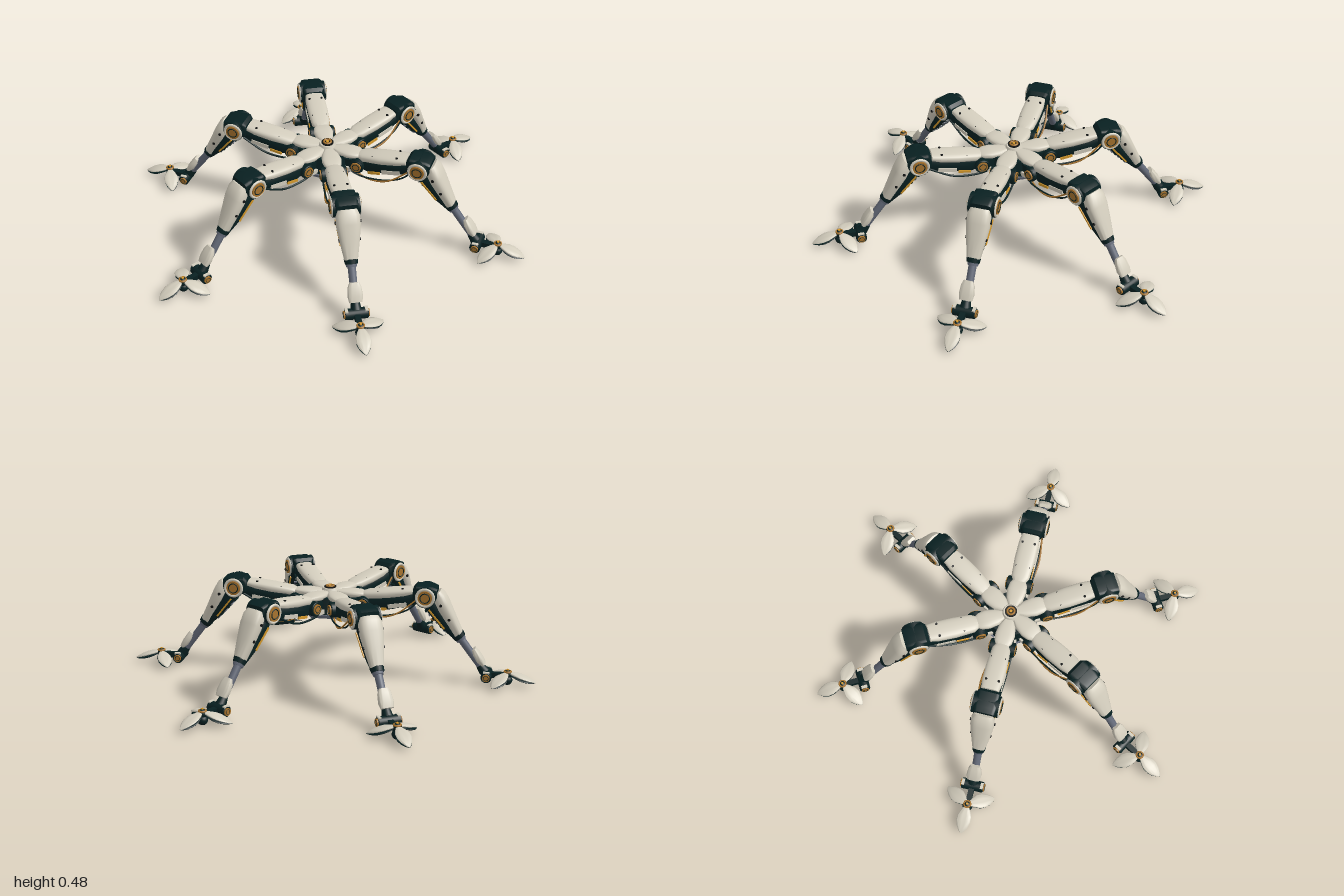
import * as THREE from 'three';
import { toCreasedNormals } from 'three/addons/utils/BufferGeometryUtils.js';

const mat = (name, color) => Object.assign(new THREE.MeshStandardMaterial({ color }), { name });
const M = {
  shell: mat('ivory shell', 0xd2ccbc),
  dark: mat('dark green frame', 0x082021),
  steel: mat('blue grey steel', 0x636977),
  bronze: mat('bronze joint', 0xa8742f),
  amber: mat('amber cable', 0xd69a2c),
  black: mat('black bolt', 0x121414),
};

function add(parent, name, geo, material, x = 0, y = 0, z = 0) {
  const m = new THREE.Mesh(geo, material);
  m.name = name;
  m.position.set(x, y, z);
  parent.add(m);
  return m;
}

// Rounded body along +x; each section is [x, top, bottom, halfWidth]
function loft(sections, square = 0.75, n = 24) {
  const pos = [], idx = [];
  const sp = v => Math.sign(v) * Math.pow(Math.abs(v), square);
  for (const [x, top, bot, w] of sections)
    for (let j = 0; j < n; j++) {
      const a = (j / n) * Math.PI * 2;
      pos.push(x, (top + bot) / 2 + sp(Math.cos(a)) * (top - bot) / 2, sp(Math.sin(a)) * w);
    }
  const last = sections.length - 1;
  for (let i = 0; i < last; i++)
    for (let j = 0; j < n; j++) {
      const k = (j + 1) % n, a = i * n + j, b = i * n + k;
      idx.push(a, b, b + n, a, b + n, a + n);
    }
  // end caps
  for (const i of [0, last]) {
    const [x, top, bot] = sections[i], c = pos.length / 3;
    pos.push(x, (top + bot) / 2, 0);
    for (let j = 0; j < n; j++) {
      const a = i * n + j, b = i * n + (j + 1) % n;
      idx.push(c, i ? a : b, i ? b : a);
    }
  }
  const g = new THREE.BufferGeometry();
  g.setAttribute('position', new THREE.Float32BufferAttribute(pos, 3));
  g.setIndex(idx);
  return toCreasedNormals(g, 0.7);
}

const cyl = (r1, r2, h, n = 20) => new THREE.CylinderGeometry(r1, r2, h, n);
const across = (r, h, n = 24) => cyl(r, r, h, n).rotateX(Math.PI / 2);
const along = (r1, r2, h, n = 20) => cyl(r2, r1, h, n).rotateZ(-Math.PI / 2);
const box = (x, y, z) => new THREE.BoxGeometry(x, y, z);

// Group whose x axis runs from one point of the leg plane towards another
function limb(parent, name, [x0, y0], [x1, y1]) {
  const g = new THREE.Group();
  g.name = name;
  g.position.set(x0, y0, 0);
  g.rotation.z = Math.atan2(y1 - y0, x1 - x0);
  parent.add(g);
  return g;
}

function cable(parent, points, r, material) {
  const curve = new THREE.CatmullRomCurve3(points.map(p => new THREE.Vector3(...p)));
  add(parent, 'cable', new THREE.TubeGeometry(curve, 24, r, 6), material);
}

// Rotary joint with layered caps on both sides
function joint(parent, name, [x, y], r, width, ringMaterial) {
  const g = new THREE.Group();
  g.name = name;
  g.position.set(x, y, 0);
  parent.add(g);
  add(g, 'jointCore', across(r, width), M.dark);
  for (const s of [-1, 1]) {
    add(g, 'jointRing', new THREE.TorusGeometry(r * 0.82, r * 0.14, 8, 24), ringMaterial, 0, 0, s * width / 2);
    add(g, 'jointCap', across(r * 0.68, 0.012), M.bronze, 0, 0, s * (width / 2 + 0.003));
    add(g, 'jointGroove', new THREE.TorusGeometry(r * 0.45, r * 0.05, 6, 20), M.dark, 0, 0, s * (width / 2 + 0.009));
  }
  return g;
}

const HIP = [0.165, 0.38], KNEE = [0.465, 0.43], ANKLE = [0.765, 0.045], FOOT = [0.865, 0.04];

function buildThigh(leg) {
  joint(leg, 'hip', HIP, 0.036, 0.112, M.dark);
  const t = limb(leg, 'thigh', HIP, KNEE);
  add(t, 'thighFrame', loft([[0.0, 0.03, -0.025, 0.035], [0.05, 0.035, -0.045, 0.045],
    [0.2, 0.03, -0.045, 0.046], [0.29, 0.025, -0.03, 0.04]], 0.55), M.dark);
  add(t, 'thighShell', loft([[0.0, 0.05, 0.022, 0.028], [0.03, 0.056, 0.012, 0.044],
    [0.12, 0.054, 0.006, 0.05], [0.2, 0.05, 0.006, 0.049], [0.245, 0.044, 0.012, 0.043]]), M.shell);
  for (const s of [-1, 1]) {
    add(t, 'thighSidePlate', box(0.09, 0.02, 0.008), M.shell, 0.165, -0.026, s * 0.045);
    add(t, 'thighAmberStrip', box(0.06, 0.013, 0.007), M.amber, 0.08, -0.036, s * 0.044);
    for (const x of [0.08, 0.2])
      add(t, 'shellBolt', cyl(0.006, 0.006, 0.012, 8), M.black, x, 0.045, s * 0.03);
  }
  // hanging cables
  cable(leg, [[0.11, 0.35, 0.04], [0.18, 0.33, 0.05], [0.3, 0.335, 0.054],
    [0.39, 0.37, 0.054], [0.44, 0.42, 0.05]], 0.004, M.dark);
  cable(leg, [[0.11, 0.35, -0.04], [0.18, 0.335, -0.046], [0.3, 0.34, -0.046], [0.42, 0.4, -0.045]], 0.005, M.dark);
  cable(leg, [[0.13, 0.35, 0.03], [0.22, 0.322, 0.05], [0.32, 0.34, 0.062], [0.43, 0.42, 0.05]], 0.004, M.bronze);
}

function buildShin(leg) {
  const knee = joint(leg, 'knee', KNEE, 0.05, 0.125, M.shell);
  add(knee, 'kneeHousing', loft([[-0.06, 0.035, -0.03, 0.045], [-0.045, 0.05, -0.03, 0.054],
    [0.03, 0.05, -0.03, 0.054], [0.055, 0.04, -0.02, 0.05]], 0.3), M.dark);
  const s = limb(leg, 'shin', KNEE, [0.628, 0.225]);
  add(s, 'shinFrame', loft([[0.0, 0.03, -0.03, 0.04], [0.06, 0.03, -0.042, 0.046],
    [0.18, 0.02, -0.036, 0.036], [0.245, 0.02, -0.024, 0.026]], 0.5), M.dark);
  add(s, 'shinShell', loft([[0.02, 0.073, 0.03, 0.044], [0.045, 0.08, 0.01, 0.054], [0.09, 0.072, 0.002, 0.056],
    [0.16, 0.054, -0.006, 0.046], [0.245, 0.033, -0.016, 0.031]]), M.shell);
  // ladder ribs on the inner side
  for (let i = 0; i < 6; i++)
    add(s, 'shinRib', box(0.01, 0.014, 0.06 - i * 0.004), i % 2 ? M.steel : M.dark, 0.06 + i * 0.026, -0.041 + i * 0.002, 0);
  for (const d of [-1, 1]) {
    const strip = add(s, 'shinAmberStrip', box(0.12, 0.008, 0.008), M.amber, 0.12, -0.024, d * 0.041);
    strip.rotation.y = d * 0.09;
    for (const [x, y, z] of [[0.075, 0.036, 0.054], [0.155, 0.024, 0.044]])
      add(s, 'shellBolt', across(0.007, 0.012, 8), M.black, x, y, d * z);
  }
  add(s, 'shinCollar', along(0.033, 0.029, 0.022), M.dark, 0.254, 0.004);
  add(s, 'collarRing', along(0.027, 0.024, 0.014), M.steel, 0.271, 0.002);

  // piston and ankle guard
  const p = limb(leg, 'piston', [0.628, 0.23], ANKLE);
  add(p, 'pistonRod', along(0.019, 0.017, 0.2), M.steel, 0.1);
  add(p, 'pistonFoot', along(0.019, 0.026, 0.04), M.dark, 0.192);
  add(p, 'ankleGuard', loft([[0.088, 0.034, 0.014, 0.022], [0.11, 0.037, 0.004, 0.031],
    [0.15, 0.036, 0.0, 0.035], [0.178, 0.03, 0.008, 0.03]], 0.6), M.shell);
}

function buildFoot(leg) {
  const ankle = joint(leg, 'ankle', ANKLE, 0.026, 0.1, M.dark);
  for (const s of [-1, 1])
    add(ankle, 'ankleSideGuard', box(0.03, 0.008, 0.014), M.shell, 0, 0.024, s * 0.046);
  const foot = new THREE.Group();
  foot.name = 'foot';
  foot.position.set(...FOOT, 0);
  leg.add(foot);
  add(foot, 'footLink', box(0.09, 0.026, 0.026), M.dark, -0.05, 0.006);
  add(foot, 'footPad', new THREE.SphereGeometry(0.024, 20, 12), M.dark, 0, -0.016);
  add(foot, 'footHub', new THREE.SphereGeometry(0.021, 20, 12), M.dark, 0, 0.014);
  add(foot, 'footRing', new THREE.TorusGeometry(0.015, 0.005, 8, 20).rotateX(Math.PI / 2), M.bronze, 0, 0.027);
  add(foot, 'footPin', cyl(0.006, 0.006, 0.012, 10), M.amber, 0, 0.033);
  // three petal toes, pale above and dark below
  const outline = [[0.012, 0.012], [0.03, 0.023], [0.055, 0.033], [0.08, 0.034], [0.105, 0.026], [0.124, 0.013], [0.134, 0.003]];
  const toeTop = loft(outline.map(([x, w]) => [x, 0.025 - x * 0.34 + w * 0.35, 0.016 - x * 0.3, w]), 1);
  const toeSole = loft(outline.map(([x, w]) => [x, 0.018 - x * 0.3, 0.014 - x * 0.28 - w * 0.32, w * 0.95]), 1);
  for (let i = 0; i < 3; i++) {
    const toe = new THREE.Group();
    toe.name = 'toe';
    toe.rotation.y = i * Math.PI * 2 / 3;
    add(toe, 'toeShell', toeTop, M.shell);
    add(toe, 'toeSole', toeSole, M.dark);
    foot.add(toe);
  }
}

function buildBody(root) {
  const body = new THREE.Group();
  body.name = 'body';
  root.add(body);
  add(body, 'bodyCore', cyl(0.125, 0.135, 0.08, 6), M.dark, 0, 0.375);
  add(body, 'bellyPlate', cyl(0.145, 0.14, 0.016, 6), M.steel, 0, 0.328);
  add(body, 'crownBase', cyl(0.036, 0.045, 0.02, 24), M.shell, 0, 0.433);
  add(body, 'crownDisc', cyl(0.029, 0.029, 0.012, 24), M.black, 0, 0.442);
  add(body, 'crownRing', new THREE.TorusGeometry(0.017, 0.005, 8, 24).rotateX(Math.PI / 2), M.bronze, 0, 0.449);
  add(body, 'crownPin', cyl(0.007, 0.007, 0.012, 12), M.amber, 0, 0.446);
  for (let i = 0; i < 6; i++) {
    const sector = new THREE.Group();
    sector.name = 'bodySector';
    sector.rotation.y = Math.PI / 6 + i * Math.PI / 3;
    body.add(sector);
    add(sector, 'bodyPetal', loft([[0.02, 0.432, 0.41, 0.014], [0.07, 0.436, 0.4, 0.04],
      [0.115, 0.438, 0.402, 0.047], [0.15, 0.436, 0.406, 0.042], [0.17, 0.43, 0.412, 0.03]]), M.shell);
    add(sector, 'hipBracket', box(0.08, 0.06, 0.085), M.dark, 0.125, 0.372);
    for (const s of [-1, 1])
      add(sector, 'hipCheek', box(0.04, 0.022, 0.01), M.shell, 0.12, 0.352, s * 0.047);
  }
}

export function createModel() {
  const root = new THREE.Group();
  root.name = 'sixLeggedWalker';
  buildBody(root);
  for (let i = 0; i < 6; i++) {
    const leg = new THREE.Group();
    leg.name = 'leg';
    leg.rotation.y = Math.PI / 6 + i * Math.PI / 3;
    buildThigh(leg);
    buildShin(leg);
    buildFoot(leg);
    root.add(leg);
  }
  return root;
}
